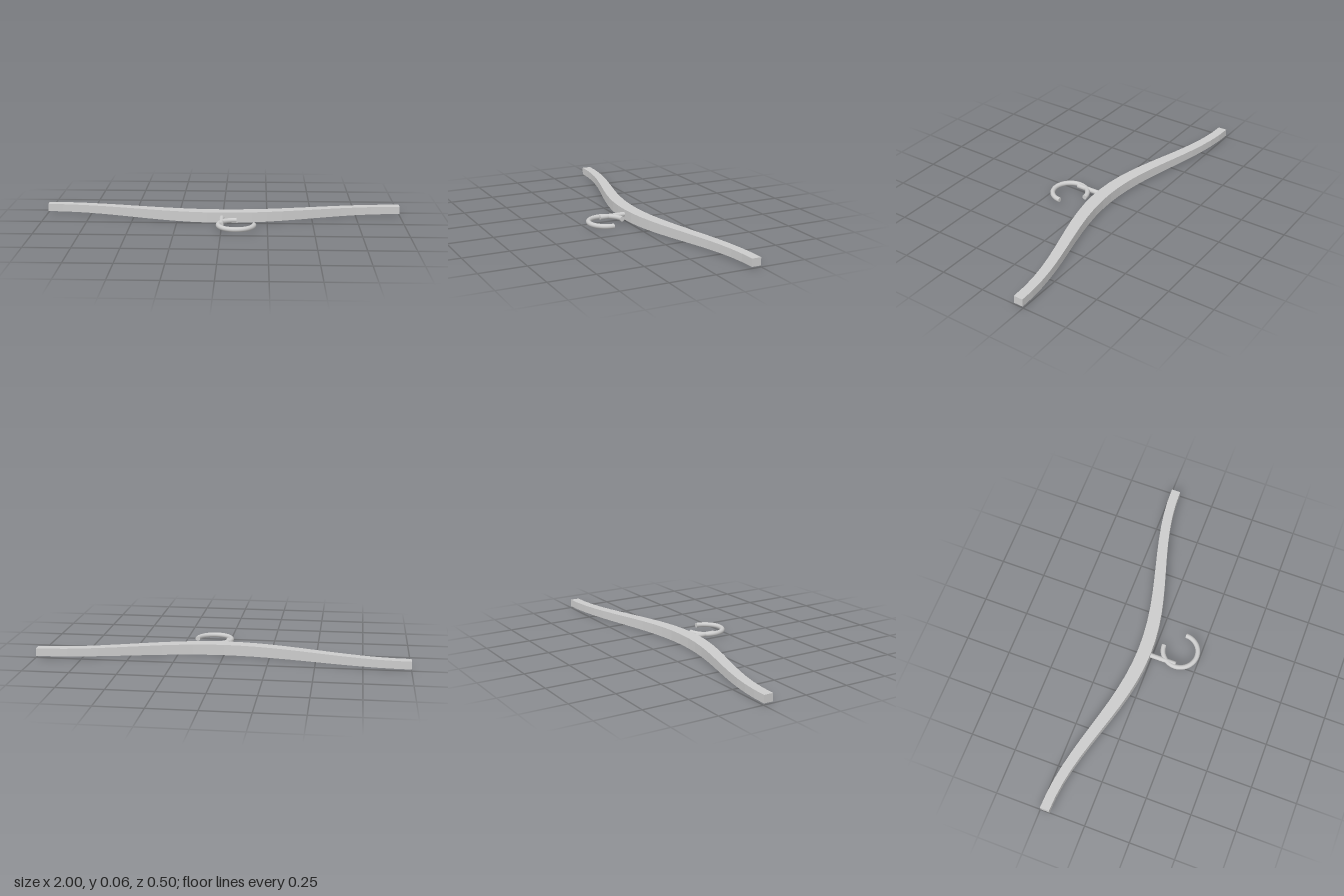
import * as THREE from 'three';

const MID_Y = 0.029;
const WIRE = 0.0133;

export function createModel() {
  const hanger = new THREE.Group();
  hanger.name = 'coatHanger';
  const wood = new THREE.MeshStandardMaterial({ color: 0xcccccc, flatShading: true });
  const metal = new THREE.MeshStandardMaterial({ color: 0xcccccc });

  const add = (name, geometry, material, parent = hanger) => {
    const mesh = new THREE.Mesh(geometry, material);
    mesh.name = name;
    parent.add(mesh);
    return mesh;
  };

  // Shoulder bar: a box swept along a cosine wave, thinner towards the ends
  const barGeo = new THREE.BoxGeometry(2, 1, 1, 24, 1, 1);
  const pos = barGeo.attributes.position;
  for (let i = 0; i < pos.count; i++) {
    const x = pos.getX(i);
    const wave = Math.cos(Math.PI * x);
    const height = 0.05 + 0.008 * wave;
    const depth = 0.062 + 0.011 * wave;
    pos.setY(i, MID_Y + pos.getY(i) * height);
    pos.setZ(i, -0.132 + 0.09 * wave + pos.getZ(i) * depth);
  }
  barGeo.computeVertexNormals();
  add('shoulderBar', barGeo, wood);

  // Straight stem running from the bar to the side of the hook
  const stem = add('hookStem', new THREE.CylinderGeometry(WIRE, WIRE, 0.18, 24), metal);
  stem.rotation.x = Math.PI / 2;
  stem.position.set(0, MID_Y, 0.05);

  // Three-quarter ring hook with closed ends
  const hook = new THREE.Group();
  hook.name = 'hook';
  hook.position.set(0.081, MID_Y, 0.139);
  hook.rotation.x = Math.PI / 2;
  hanger.add(hook);
  const R = 0.096;
  add('hookRing', new THREE.TorusGeometry(R, WIRE, 20, 48, Math.PI * 1.5), metal, hook);
  const tip = add('hookTip', new THREE.CircleGeometry(WIRE, 20), metal, hook);
  tip.position.set(R, 0, 0);
  tip.rotation.x = Math.PI / 2;
  const tail = add('hookTail', new THREE.CircleGeometry(WIRE, 20), metal, hook);
  tail.position.set(0, -R, 0);
  tail.rotation.y = Math.PI / 2;

  return hanger;
}
